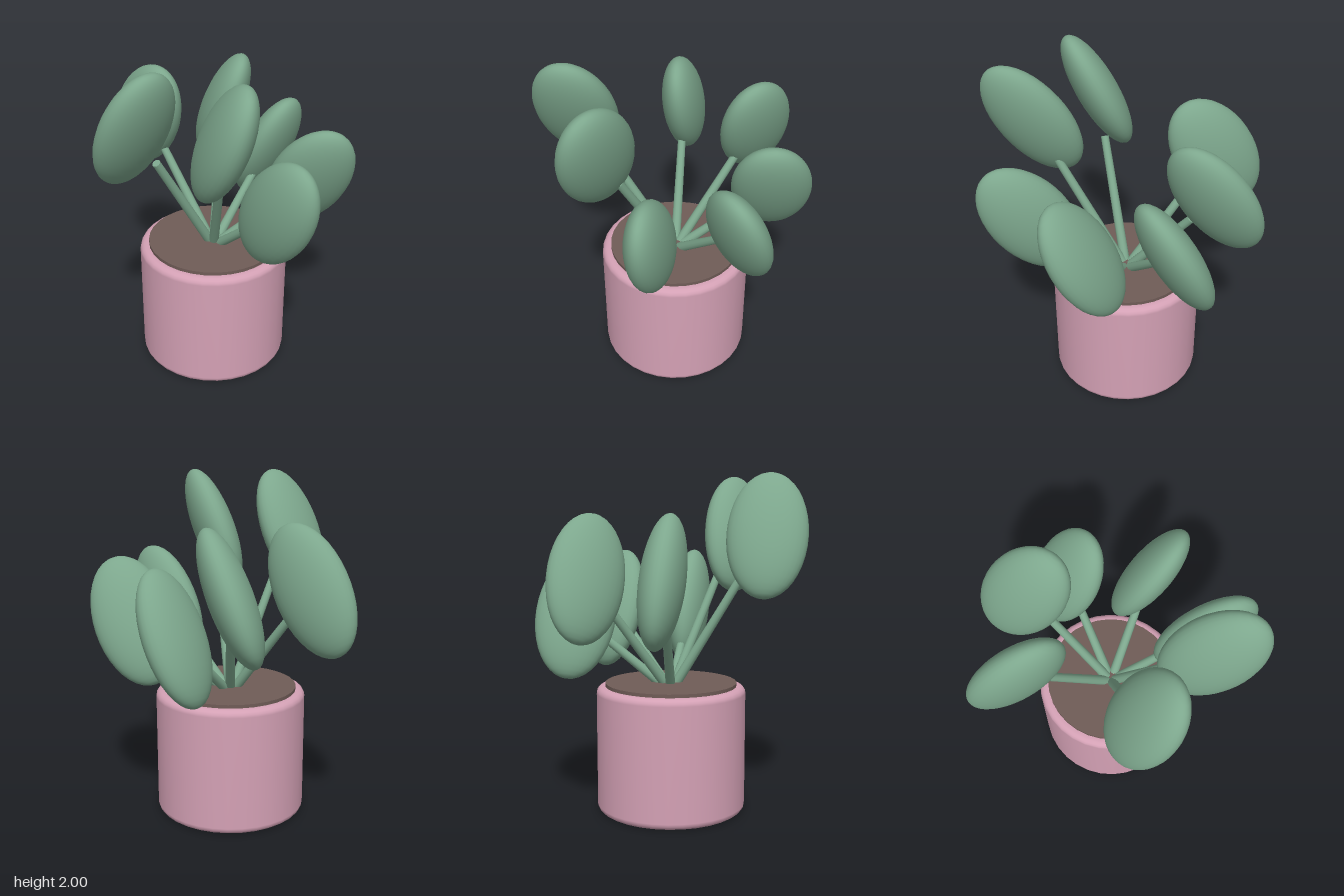
import * as THREE from 'three';

const material = (color) => new THREE.MeshStandardMaterial({ color });

export function createModel() {
  const model = new THREE.Group();
  const pink = material(0xd4a1b5), brown = material(0x705c57), green = material(0x7da78d);

  const add = (name, geometry, mat, parent = model) => {
    const mesh = new THREE.Mesh(geometry, mat);
    mesh.name = name;
    parent.add(mesh);
    return mesh;
  };

  const plant = new THREE.Group();
  plant.name = 'pottedPlant';
  plant.position.set(-0.007, 0, -0.01);
  model.add(plant);

  // Pot: solid drum with rounded rims
  const R = 0.443, H = 0.75, bevel = 0.04;
  const profile = [new THREE.Vector2(0, 0), new THREE.Vector2(R - bevel - 0.01, 0)];
  for (const [cy, from] of [[bevel, -90], [H - bevel, 0]]) {
    for (let i = 0; i <= 4; i++) {
      const a = THREE.MathUtils.degToRad(from + i * 22.5);
      profile.push(new THREE.Vector2(R - bevel + bevel * Math.cos(a), cy + bevel * Math.sin(a)));
    }
  }
  profile.push(new THREE.Vector2(R - bevel - 0.01, H), new THREE.Vector2(0, H));
  add('pot', new THREE.LatheGeometry(profile, 32), pink, plant);

  // Soil disc standing slightly proud of the rim
  add('soil', new THREE.CylinderGeometry(0.39, 0.39, 0.04, 32), brown, plant).position.y = 0.75;

  // Leaves: angle round the pot in degrees (from +x towards +z) and height of centre
  const leaves = [[-1, 1.175], [32, 1.641], [85, 1.641], [171, 1.409], [223, 1.409], [255, 1.175], [307, 1.175]];
  const root = new THREE.Vector3(0, 0.71, 0);
  const up = new THREE.Vector3(0, 1, 0);
  for (const [degrees, y] of leaves) {
    const angle = THREE.MathUtils.degToRad(degrees);
    const centre = new THREE.Vector3(0.558 * Math.cos(angle), y, 0.558 * Math.sin(angle));

    // Straight stem ending inside the lower half of its leaf
    const tip = root.clone().lerp(centre, 0.75);
    const direction = tip.clone().sub(root);
    const stem = add('stem', new THREE.CylinderGeometry(0.024, 0.03, direction.length(), 12), green, plant);
    stem.position.copy(root).lerp(tip, 0.5);
    stem.quaternion.setFromUnitVectors(up, direction.normalize());

    // Flattened oval leaf, broad side radial, leaning towards +x
    const lean = THREE.MathUtils.degToRad(26 + 8 * Math.cos(angle) ** 2);
    const leaf = add('leaf', new THREE.SphereGeometry(1, 32, 20), green, plant);
    leaf.scale.set(0.235, 0.394, 0.123);
    leaf.position.copy(centre);
    leaf.rotation.set(0, -angle, -lean, 'ZYX');
  }
  return model;
}
